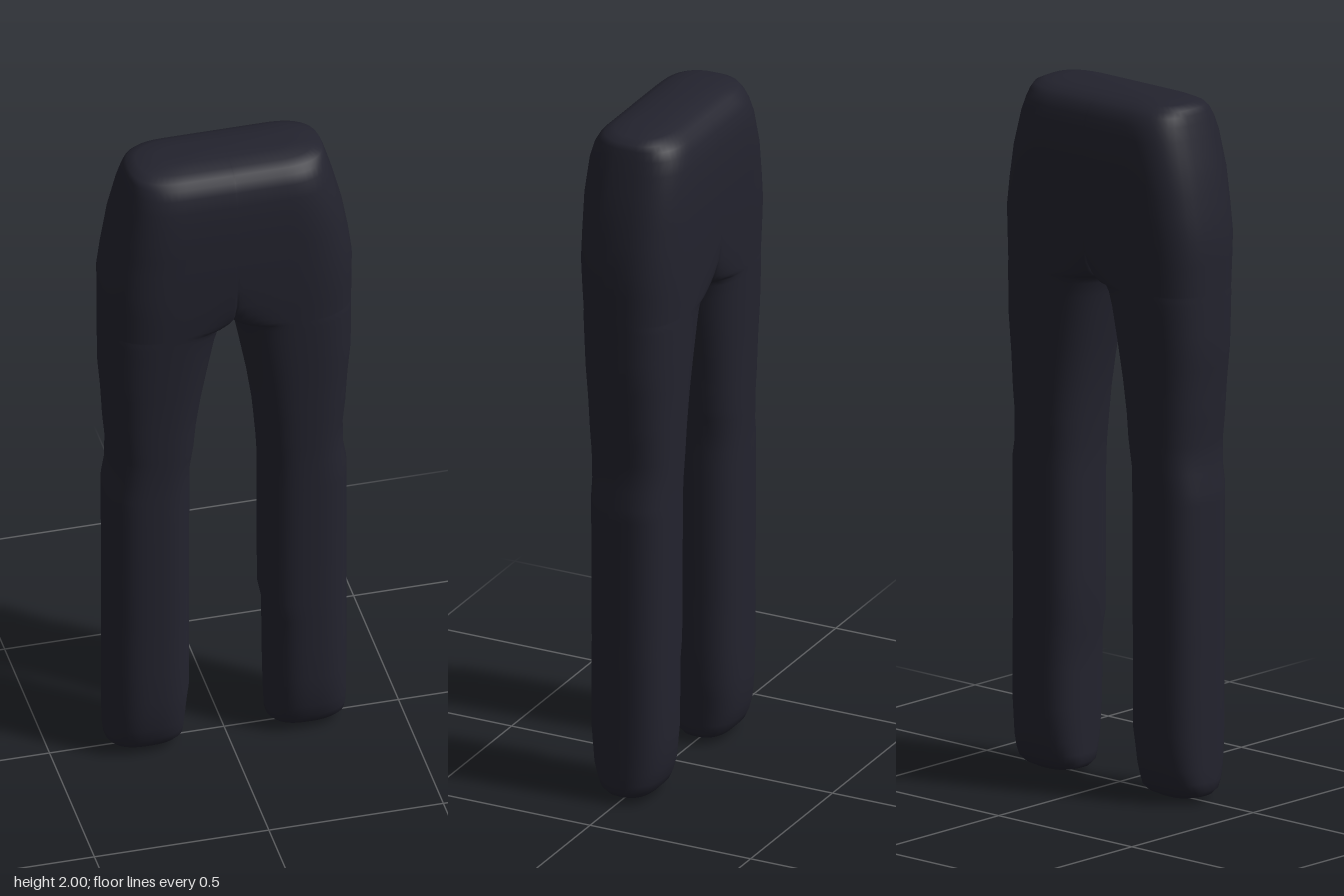
import * as THREE from 'three';
import { mergeVertices } from 'three/addons/utils/BufferGeometryUtils.js';

// Profiles as [height, value] pairs
const OUTER = [[0.008, 0.29], [0.018, 0.325], [0.035, 0.341], [0.06, 0.344], [0.9, 0.344], [0.95, 0.335], [1.03, 0.333],
  [1.1, 0.34], [1.2, 0.346], [1.3, 0.355], [1.62, 0.357], [1.7, 0.346], [1.8, 0.328], [1.9, 0.302], [1.965, 0.282],
  [1.98, 0.275], [1.992, 0.25], [2, 0.19]];
const INNER_LEFT = [[0.008, 0.17], [0.018, 0.135], [0.035, 0.119], [0.4, 0.115], [0.46, 0.103], [0.92, 0.102], [1.03, 0.093],
  [1.1, 0.086], [1.2, 0.071], [1.3, 0.052], [1.4, 0.032], [1.44, 0.022], [1.455, 0.012], [1.462, 0]];
const INNER_RIGHT = [[0.008, 0.17], [0.018, 0.135], [0.035, 0.122], [0.13, 0.115], [0.2, 0.107], [0.95, 0.106], [1.03, 0.094],
  [1.1, 0.088], [1.2, 0.073], [1.3, 0.054], [1.4, 0.034], [1.44, 0.022], [1.455, 0.012], [1.462, 0]];
const DEPTH = [[0.008, 0.045], [0.018, 0.065], [0.035, 0.082], [0.06, 0.094], [0.1, 0.106], [0.2, 0.116], [0.95, 0.12],
  [1.2, 0.131], [1.4, 0.143], [1.6, 0.155], [1.8, 0.157], [1.9, 0.15], [1.94, 0.14], [1.965, 0.126], [1.98, 0.11],
  [1.992, 0.085], [2, 0.045]];
// How far the two halves are joined at the middle: 0 = separate legs, 1 = full body
const BRIDGE = [[1.462, 0], [1.466, 0.35], [1.475, 0.55], [1.49, 0.72], [1.515, 0.86], [1.55, 0.95], [1.62, 1]];
const CENTRE_Z = [[0.1, -0.005], [1.0, -0.005], [1.6, 0]];

const ROWS = [0.008, 0.018, 0.035, 0.06, 0.1, 0.15, 0.2, 0.3, 0.4, 0.46, 0.6, 0.75, 0.86, 0.9, 0.95, 1, 1.03, 1.1, 1.15, 1.2,
  1.25, 1.3, 1.35, 1.4, 1.44, 1.455, 1.462, 1.466, 1.475, 1.49, 1.515, 1.55, 1.62, 1.7, 1.75, 1.8, 1.85, 1.9, 1.94,
  1.965, 1.98, 1.992, 2];

function sample(keys, y) {
  if (y <= keys[0][0]) return keys[0][1];
  for (let i = 1; i < keys.length; i++) {
    const [y0, v0] = keys[i - 1], [y1, v1] = keys[i];
    if (y <= y1) return v0 + (v1 - v0) * (y - y0) / (y1 - y0);
  }
  return keys[keys.length - 1][1];
}

function trouserGeometry() {
  const M = 22, N = 2 * M + 2, power = 2.6;
  const positions = [], index = [];
  for (const side of [1, -1]) {
    const base = positions.length / 3;
    const tri = (a, b, c) => index.push(base + a, base + (side > 0 ? b : c), base + (side > 0 ? c : b));

    // Rounded cross-sections: front arc from outer seam to inner seam, then back arc
    for (const y of ROWS) {
      const outer = sample(OUTER, y), inner = sample(side > 0 ? INNER_LEFT : INNER_RIGHT, y);
      const depth = sample(DEPTH, y), bridge = sample(BRIDGE, y), cz = sample(CENTRE_Z, y);
      for (let j = 0; j < N; j++) {
        const front = j <= M, k = front ? j : N - 1 - j;
        const t = k === M ? -1 : Math.cos(Math.PI * k / M);
        let h = Math.pow(Math.max(0, 1 - Math.pow(Math.abs(t), power)), 1 / power);
        if (t < 0) h += (1 - h) * bridge;
        const x = (outer + inner) / 2 + t * (outer - inner) / 2;
        positions.push(side * x, y, cz + (front ? 1 : -1) * depth * h);
      }
    }
    for (let r = 0; r < ROWS.length - 1; r++) {
      for (let j = 0; j < N - 1; j++) {
        if (j === M) continue; // the halves meet here
        const a = r * N + j, c = a + N;
        tri(a, c, a + 1);
        tri(a + 1, c, c + 1);
      }
    }

    // Closed hem and closed waist
    const hem = ROWS.length * N, waist = hem + 1, top = (ROWS.length - 1) * N;
    positions.push(side * 0.23, 0, -0.005, 0, 2, 0);
    for (let j = 0; j < N - 1; j++) {
      if (j === M) continue;
      tri(hem, j, j + 1);
      tri(waist, top + j + 1, top + j);
    }
  }
  const geometry = new THREE.BufferGeometry();
  geometry.setAttribute('position', new THREE.Float32BufferAttribute(positions, 3));
  geometry.setIndex(index);
  const merged = mergeVertices(geometry, 1e-4);
  merged.computeVertexNormals();
  return merged;
}

export function createModel() {
  const group = new THREE.Group();
  group.name = 'trousers';
  const cloth = new THREE.MeshStandardMaterial({ color: 0x23232e });
  cloth.name = 'dark navy cloth';
  const mesh = new THREE.Mesh(trouserGeometry(), cloth);
  mesh.name = 'trouserBody';
  group.add(mesh);
  return group;
}
